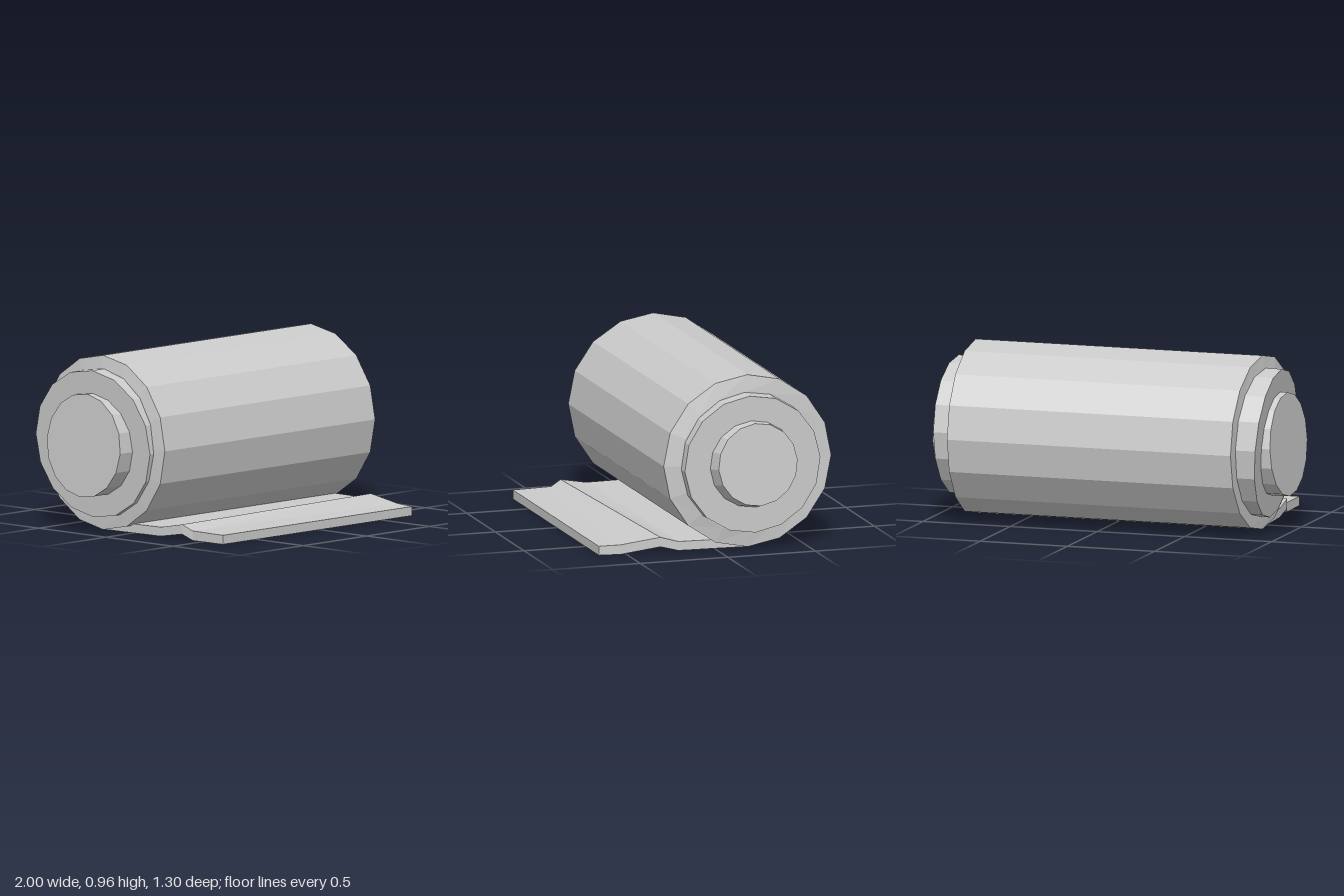
import * as THREE from 'three';

const SIDES = 16;
const material = new THREE.MeshStandardMaterial({ color: 0xcccccc, flatShading: true });

// Ring of points around the roll axis (x), leaning by slopes sy and sz.
function ring(x, r, sy = 0, sz = 0, cy = 0.485, cz = -0.174, turn = 0) {
  return Array.from({ length: SIDES }, (_, i) => {
    const a = (i / SIDES) * Math.PI * 2 + turn;
    const dy = r * Math.cos(a), dz = r * Math.sin(a);
    return new THREE.Vector3(x + sy * dy + sz * dz, cy + dy, cz + dz);
  });
}

// Skins a closed solid over equal-length cross-sections, with fan caps.
function loft(name, sections) {
  const pos = [];
  const tri = (...pts) => pts.forEach((p) => pos.push(p.x, p.y, p.z));
  const n = sections[0].length;
  for (let s = 0; s < sections.length - 1; s++) {
    const a = sections[s], b = sections[s + 1];
    for (let i = 0; i < n; i++) {
      const j = (i + 1) % n;
      tri(a[i], a[j], b[j]);
      tri(a[i], b[j], b[i]);
    }
  }
  const cap = (pts, flip) => {
    const c = pts.reduce((m, p) => m.add(p), new THREE.Vector3()).divideScalar(n);
    for (let i = 0; i < n; i++) {
      const j = (i + 1) % n;
      tri(c, pts[flip ? j : i], pts[flip ? i : j]);
    }
  };
  cap(sections[0], true);
  cap(sections[sections.length - 1], false);
  const geo = new THREE.BufferGeometry();
  geo.setAttribute('position', new THREE.Float32BufferAttribute(pos, 3));
  geo.computeVertexNormals();
  const mesh = new THREE.Mesh(geo, material);
  mesh.name = name;
  return mesh;
}

export function createModel() {
  const group = new THREE.Group();
  group.name = 'rolledMat';

  // Outer layer of the roll, with slightly dished ends
  group.add(loft('outerRoll', [
    ring(-0.843, 0.41, -0.01, -0.055),
    ring(-0.836, 0.478, 0, -0.042),
    ring(0.81, 0.478),
    ring(0.822, 0.39, 0, 0.03),
  ]));

  // Middle layer, poking out unevenly at both ends
  group.add(loft('middleRoll', [
    ring(-0.914, 0.407, -0.068, 0.045, 0.485, -0.177, 0.05),
    ring(-0.78, 0.407, 0, 0, 0.485, -0.177, 0.05),
    ring(0.78, 0.385, 0, 0, 0.485, -0.172, 0.05),
    ring(0.907, 0.382, 0.02, -0.04, 0.485, -0.172, 0.05),
  ]));

  // Inner core of the roll
  group.add(loft('innerRoll', [
    ring(-0.987, 0.283, 0.045, -0.035, 0.483, -0.178, 0.06),
    ring(-0.87, 0.283, 0, 0, 0.483, -0.178, 0.06),
    ring(0.88, 0.246, 0, 0, 0.485, -0.175, 0.06),
    ring(0.98, 0.227, -0.065, 0.02, 0.497, -0.18, 0.06),
  ]));

  // Loose flap on the ground: [right x, right z, left x, left z, bottom y, top y]
  const flap = [
    [-0.82, -0.17, 0.80, -0.17, 0.006, 0.055],
    [-0.80, 0.22, 0.78, 0.21, 0.006, 0.056],
    [-0.79, 0.37, 0.77, 0.31, 0.031, 0.084],
    [-0.77, 0.43, 0.75, 0.53, 0, 0.053],
    [-0.765, 0.65, 0.735, 0.65, 0, 0.05],
  ];
  group.add(loft('flap', flap.map(([xr, zr, xl, zl, y0, y1]) => [
    new THREE.Vector3(xl, y1, zl),
    new THREE.Vector3(xr, y1, zr),
    new THREE.Vector3(xr, y0, zr),
    new THREE.Vector3(xl, y0, zl),
  ])));

  return group;
}
